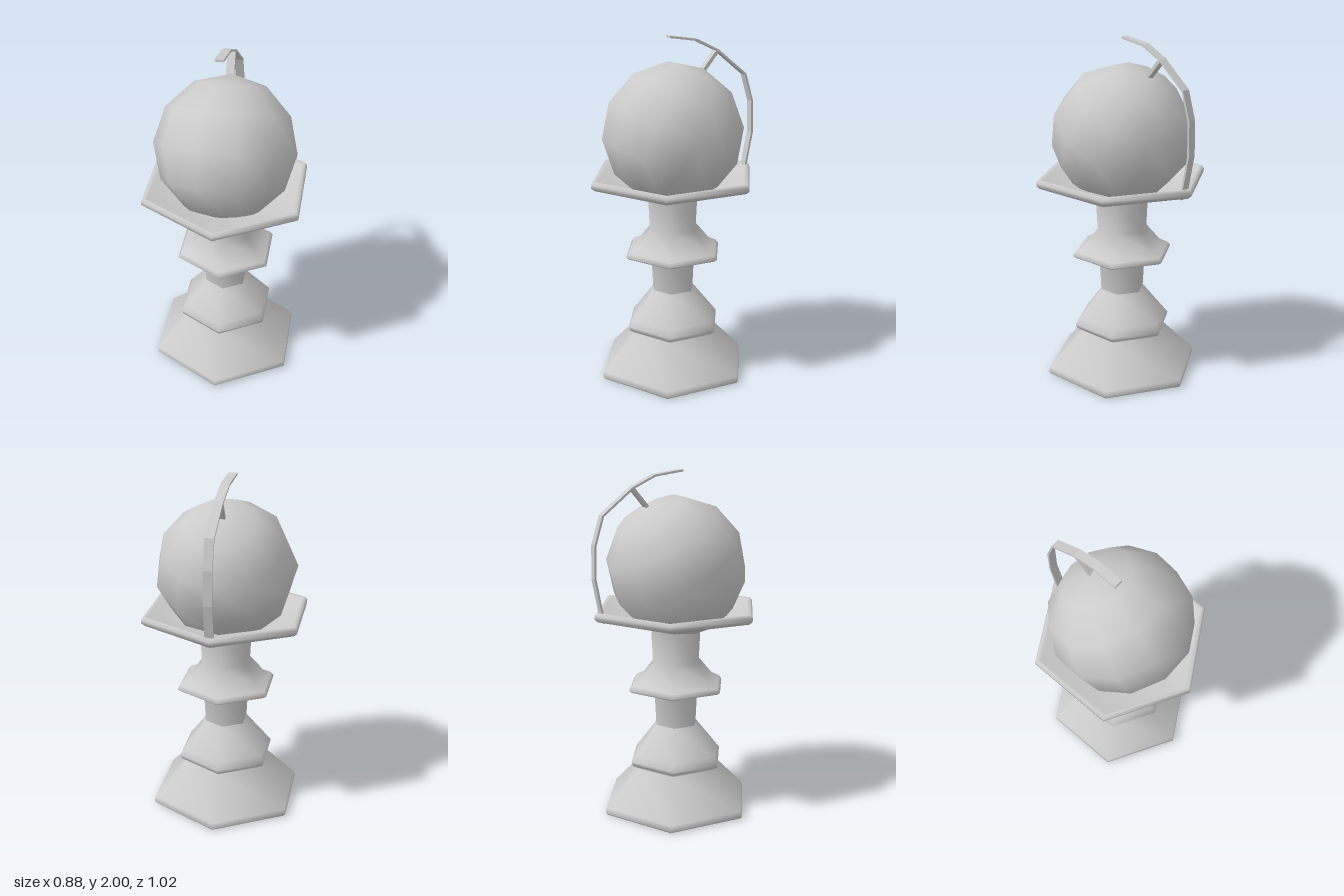
import * as THREE from 'three';

const material = new THREE.MeshStandardMaterial({ color: 0xcccccc });

function addMesh(parent, name, geometry) {
  const mesh = new THREE.Mesh(geometry, material);
  mesh.name = name;
  parent.add(mesh);
  return mesh;
}

// Six-sided turned part, with corners on +z and -z
function hexLathe(profile) {
  return new THREE.LatheGeometry(profile.map(([r, y]) => new THREE.Vector2(r, y)), 6);
}

// Flat bar swept along [x, y, z] points that run mostly in the yz plane
function barGeometry(points, width, thickness) {
  const position = [], index = [];
  const rings = points.map(([x, y, z], i) => {
    const a = points[Math.max(i - 1, 0)], b = points[Math.min(i + 1, points.length - 1)];
    const ty = b[1] - a[1], tz = b[2] - a[2], l = Math.hypot(ty, tz);
    const ny = -tz / l * thickness / 2, nz = ty / l * thickness / 2, w = width / 2;
    return [[x - w, y - ny, z - nz], [x + w, y - ny, z - nz],
      [x + w, y + ny, z + nz], [x - w, y + ny, z + nz]];
  });
  const quad = (a, b, c, d) => {
    const n = position.length / 3;
    position.push(...a, ...b, ...c, ...d);
    index.push(n, n + 1, n + 2, n, n + 2, n + 3);
  };
  for (let i = 0; i < rings.length - 1; i++) {
    for (let k = 0; k < 4; k++) {
      const m = (k + 1) % 4;
      quad(rings[i][m], rings[i][k], rings[i + 1][k], rings[i + 1][m]);
    }
  }
  const first = rings[0], last = rings[rings.length - 1];
  quad(first[0], first[1], first[2], first[3]);
  quad(last[3], last[2], last[1], last[0]);
  const geometry = new THREE.BufferGeometry();
  geometry.setAttribute('position', new THREE.Float32BufferAttribute(position, 3));
  geometry.setIndex(index);
  geometry.computeVertexNormals();
  return geometry;
}

export function createModel() {
  const model = new THREE.Group();
  model.name = 'globeOnPedestal';

  // Pedestal: flared foot, waisted column with a collar, and a shallow dish
  const pedestal = new THREE.Group();
  pedestal.name = 'pedestal';
  model.add(pedestal);
  addMesh(pedestal, 'foot', hexLathe([
    [0.45, 0], [0.462, 0.015], [0.455, 0.045], [0.25, 0.255], [0.285, 0.28],
    [0.293, 0.305], [0.265, 0.34], [0.13, 0.51],
  ]));
  addMesh(pedestal, 'column', hexLathe([
    [0.13, 0.51], [0.14, 0.7], [0.165, 0.712], [0.285, 0.728], [0.303, 0.742],
    [0.285, 0.765], [0.235, 0.79], [0.15, 0.89], [0.16, 1.085],
  ]));
  addMesh(pedestal, 'dish', hexLathe([
    [0.16, 1.085], [0.235, 1.11], [0.488, 1.168], [0.508, 1.185], [0.508, 1.205],
    [0.494, 1.223], [0.472, 1.215], [0.2, 1.13], [0, 1.13],
  ]));

  // Underside
  const underside = addMesh(pedestal, 'underside', new THREE.CircleGeometry(0.45, 6, Math.PI / 2));
  underside.rotation.x = Math.PI / 2;

  // Tilted ball with a corner meridian facing the back
  const ball = addMesh(model, 'ball', new THREE.SphereGeometry(0.407, 11, 6, -Math.PI / 2));
  ball.position.set(0, 1.45, 0.003);
  ball.rotation.x = -THREE.MathUtils.degToRad(28.5);

  // Curved arm rising from the dish behind the ball
  addMesh(model, 'arm', barGeometry([
    [0.005, 1.16, -0.455], [0.005, 1.41, -0.503], [0.004, 1.6, -0.5], [0.002, 1.76, -0.453],
    [-0.012, 1.905, -0.28], [-0.022, 1.97, -0.15], [-0.035, 1.994, 0.015],
  ], 0.05, 0.012));

  // Short pin joining the ball's pole to the arm
  addMesh(model, 'pin', barGeometry([[-0.008, 1.78, -0.175], [-0.012, 1.905, -0.28]], 0.045, 0.02));

  return model;
}
